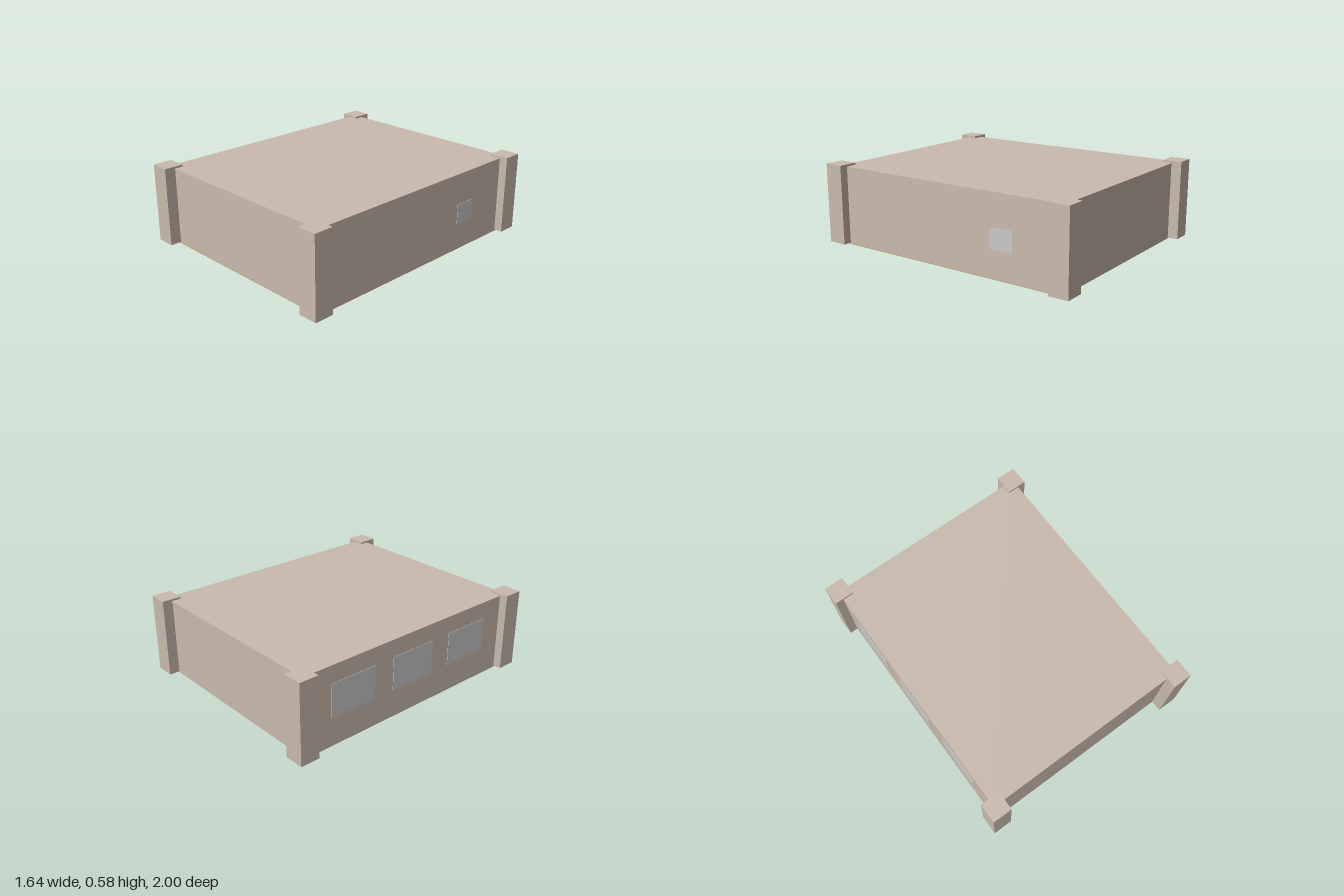
import * as THREE from 'three';

export function createModel() {
  const model = new THREE.Group();
  model.name = 'building';

  const material = (name, color) => {
    const m = new THREE.MeshStandardMaterial({ color });
    m.name = name;
    return m;
  };
  const stone = material('pale stone', 0xc9baad);
  const glass = material('grey glass', 0xc8c8c8);
  const wood = material('tan floor', 0xc8a67d);

  // Box given by its lower and upper corners
  const box = (name, mat, [x0, y0, z0], [x1, y1, z1]) => {
    const mesh = new THREE.Mesh(new THREE.BoxGeometry(x1 - x0, y1 - y0, z1 - z0), mat);
    mesh.position.set((x0 + x1) / 2, (y0 + y1) / 2, (z0 + z1) / 2);
    mesh.name = name;
    model.add(mesh);
  };

  // Floor plate, walls and roof slab
  box('floor', wood, [-0.76, 0, -0.92], [0.76, 0.005, 0.92]);
  box('walls', stone, [-0.76, 0.005, -0.925], [0.76, 0.555, 0.92]);
  box('roof', stone, [-0.76, 0.555, -0.93], [0.76, 0.565, 0.922]);

  // Corner pillars
  for (const sx of [-1, 1]) {
    for (const sz of [-1, 1]) {
      const x = sx * 0.75, z = sz * 0.93;
      box('cornerPillar', stone, [x - 0.07, 0.01, z - 0.07], [x + 0.07, 0.58, z + 0.07]);
    }
  }

  // One small window on the left (+x), three large ones on the right (-x)
  box('smallWindow', glass, [0.759, 0.195, -0.56], [0.763, 0.34, -0.39]);
  for (const z of [-0.53, -0.01, 0.51]) {
    box('largeWindow', glass, [-0.763, 0.2, z - 0.18], [-0.759, 0.44, z + 0.18]);
  }

  return model;
}
